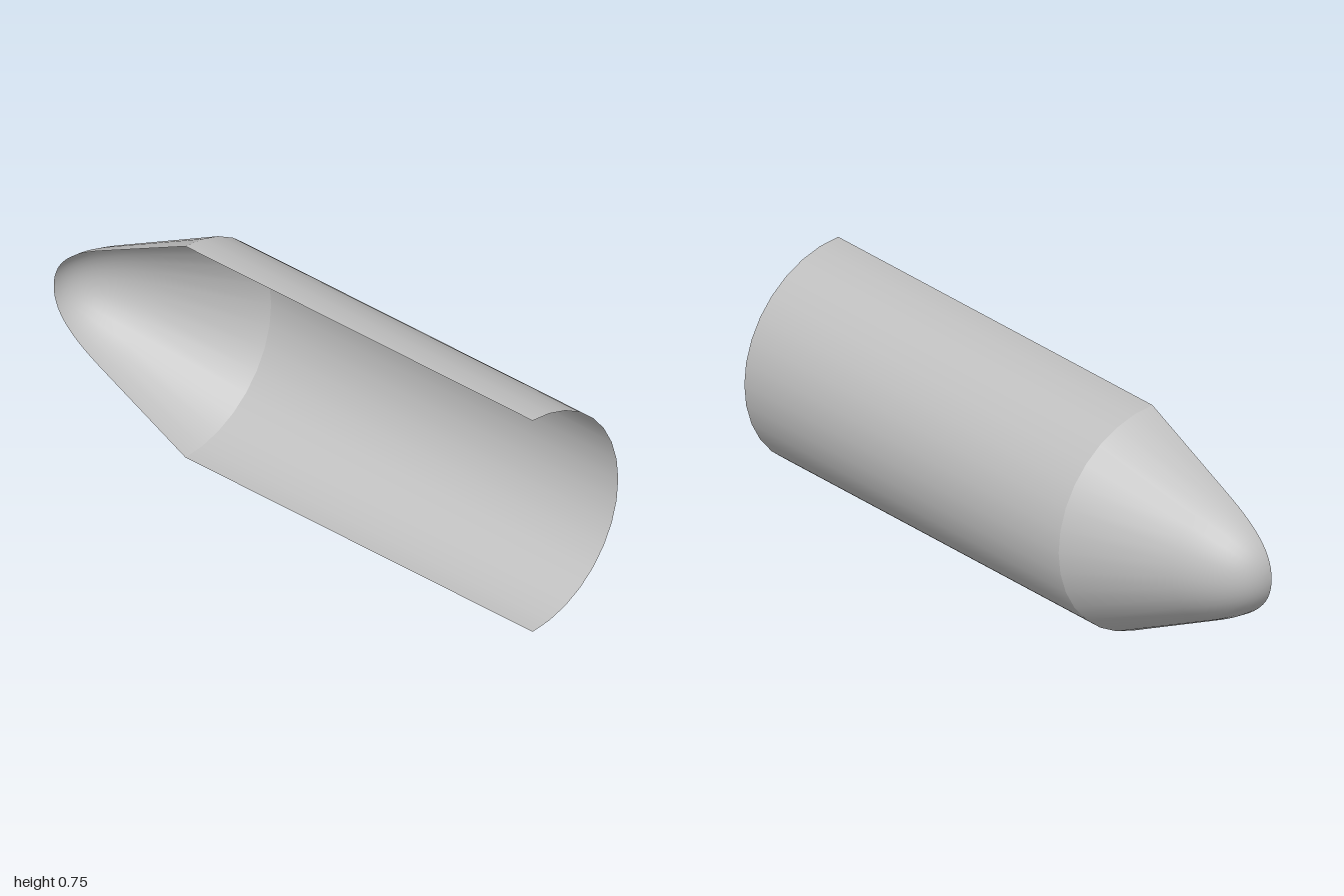
import * as THREE from 'three';

const RADIUS = 0.376;
const SHOULDER_Z = -0.45;

export function createModel() {
  const model = new THREE.Group();
  model.name = 'halfShell';

  const grey = new THREE.MeshStandardMaterial({ color: 0xbfbfbf, side: THREE.DoubleSide });
  grey.name = 'plain grey';

  // Half revolution of a (radius, z) profile around the long axis, open toward -x
  const addHalfShell = (name, profile) => {
    const geometry = new THREE.LatheGeometry(profile, 16, 0, Math.PI);
    geometry.rotateX(Math.PI / 2);
    const mesh = new THREE.Mesh(geometry, grey);
    mesh.name = name;
    mesh.position.set(-RADIUS / 2, RADIUS, 0);
    model.add(mesh);
  };

  // Straight half cylinder, open at the front
  addHalfShell('barrel', [
    new THREE.Vector2(RADIUS, SHOULDER_Z),
    new THREE.Vector2(RADIUS, 1),
  ]);

  // Rounded tip blending into a straight cone
  const tip = new THREE.CubicBezierCurve(
    new THREE.Vector2(0, -1),
    new THREE.Vector2(0.09, -1),
    new THREE.Vector2(0.15, -0.93),
    new THREE.Vector2(0.215, -0.79),
  );
  addHalfShell('nose', [...tip.getPoints(14), new THREE.Vector2(RADIUS, SHOULDER_Z)]);

  return model;
}
